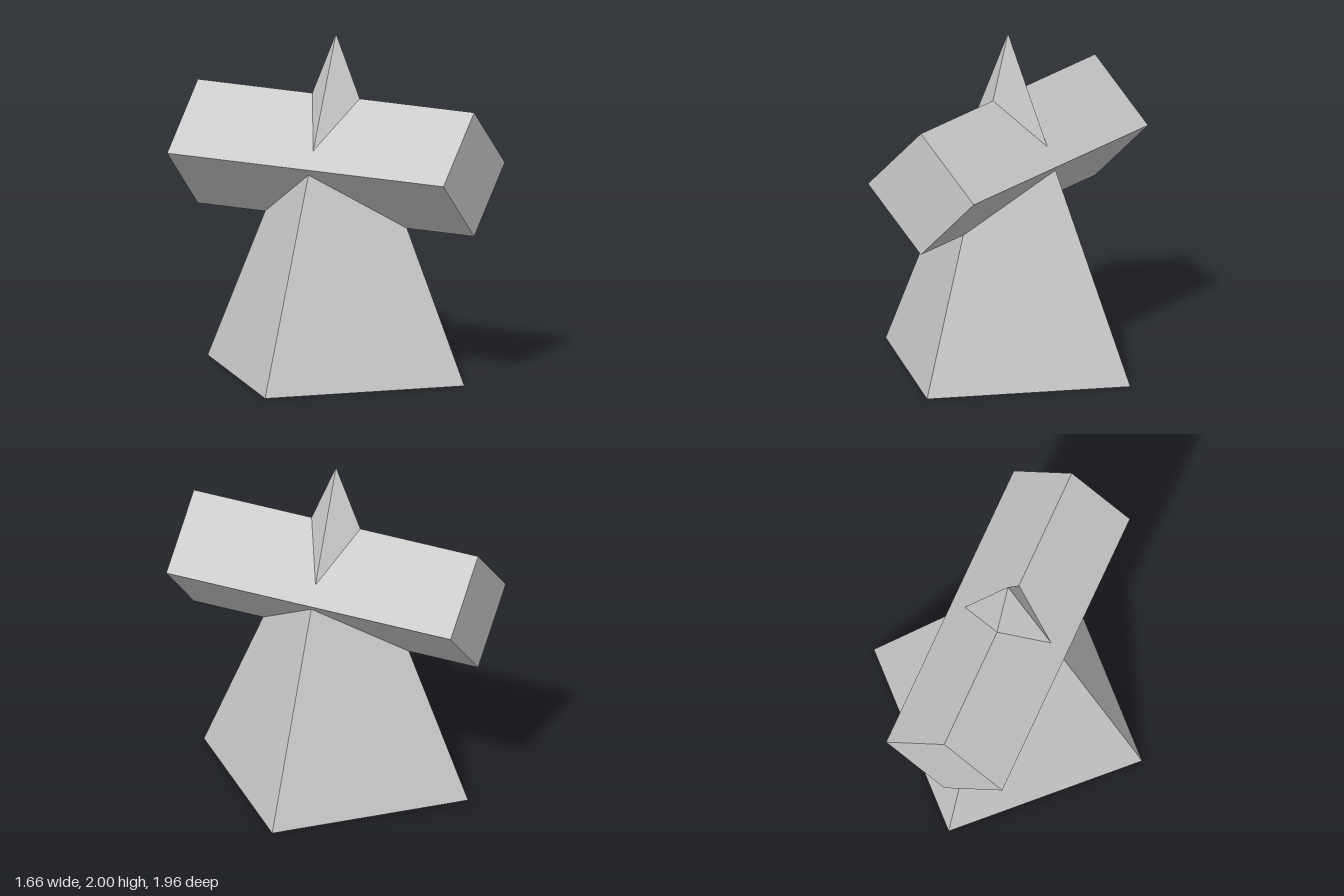
import * as THREE from 'three';

export function createModel() {
  const group = new THREE.Group();
  const material = new THREE.MeshStandardMaterial({ color: 0xcccccc, flatShading: true });
  const turn = THREE.MathUtils.degToRad(13.2);

  const add = (name, geometry, y) => {
    const mesh = new THREE.Mesh(geometry, material);
    mesh.name = name;
    mesh.position.y = y;
    mesh.rotation.y = turn;
    group.add(mesh);
  };

  // Tall four-sided pyramid, its tip rising above the beam
  add('pyramid', new THREE.CylinderGeometry(0.005, 0.855, 2, 4), 1);

  // Square beam lying on edge, passing level through the pyramid
  add('beam', new THREE.CylinderGeometry(0.37, 0.37, 1.84, 4).rotateX(Math.PI / 2), 1.27);

  return group;
}
